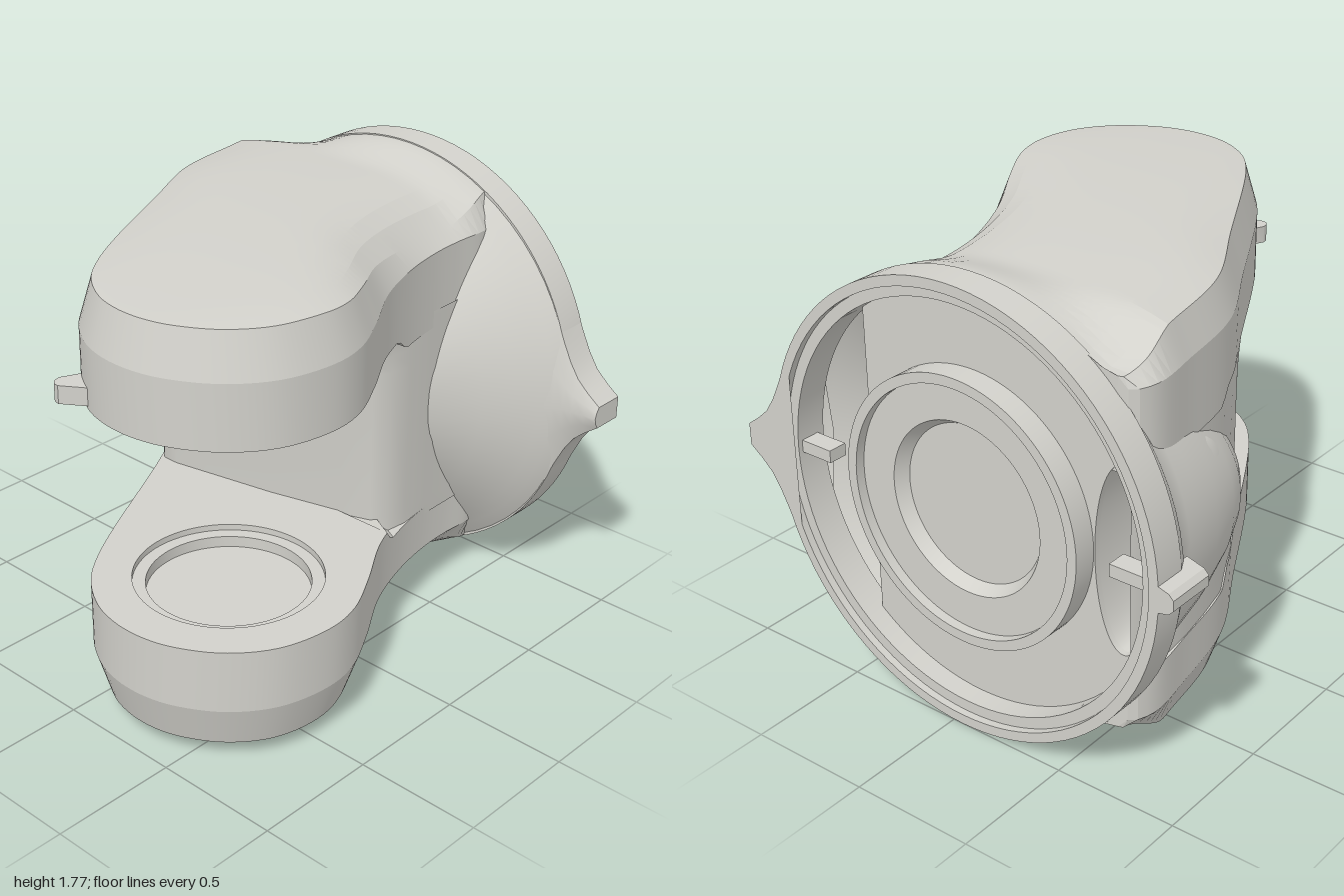
import * as THREE from 'three';
import { toCreasedNormals } from 'three/addons/utils/BufferGeometryUtils.js';

const { lerp, smoothstep } = THREE.MathUtils;
const MID = 0.885, RX = -0.045, PIVOT = [0.3, 0.47];

const grey = new THREE.MeshStandardMaterial({ color: 0xd2d1cb, side: THREE.DoubleSide });
grey.name = 'grey plastic';

function add(group, name, geometry, crease = 0.5) {
  const mesh = new THREE.Mesh(toCreasedNormals(geometry, crease), grey);
  mesh.name = name;
  group.add(mesh);
  return mesh;
}

// Surface through equally long rows of [x, y, z] points
function skin(rows, flip = false) {
  const n = rows[0].length, index = [];
  for (let i = 0; i < rows.length - 1; i++) {
    for (let j = 0; j < n - 1; j++) {
      const a = i * n + j, b = a + 1, c = a + n, d = c + 1;
      if (flip) index.push(a, c, b, b, c, d);
      else index.push(a, b, c, b, d, c);
    }
  }
  const g = new THREE.BufferGeometry();
  g.setAttribute('position', new THREE.Float32BufferAttribute(rows.flat(2), 3));
  g.setIndex(index);
  g.computeVertexNormals();
  return g;
}

const lathe = (points, segments = 72) =>
  new THREE.LatheGeometry(points.map(p => new THREE.Vector2(...p)), segments);

const planCurve = pts => new THREE.CatmullRomCurve3(
  pts.map(([x, z]) => new THREE.Vector3(x, 0, z)), false, 'centripetal');

// The two sides of the arm outline, from the back to the rounded tip
const leftSide = planCurve([[-0.6, -0.88], [-0.72, -0.87], [-0.76, -0.78], [-0.73, -0.55], [-0.66, -0.22],
  [-0.47, 0.14], [-0.15, 0.717], [-0.03, 0.86], [0.12, 0.953], [0.24, 0.983], [0.3, 0.986]]);
const rightSide = planCurve([[0.35, -0.88], [0.41, -0.875], [0.44, -0.82], [0.44, -0.65], [0.45, -0.5],
  [0.49, -0.3], [0.57, -0.08], [0.7, 0.14], [0.79, 0.32], [0.815, 0.47], [0.77, 0.69], [0.65, 0.85],
  [0.48, 0.953], [0.36, 0.983], [0.3, 0.986]]);

// Height of the crowned outer face; u runs from -1 to 1 across the arm
function crown(x, z, u) {
  const drop = smoothstep(-z, -0.6, 0.65);
  const edge = 1.7 - lerp(0.03, 0.13, (u + 1) / 2) * drop;
  const centre = 1.7 + 0.035 * (1 - (z / 0.935) ** 2);
  const y = edge + (centre - edge) * (1 - u ** 4);
  const ring = MID + Math.sqrt(Math.max(0, 0.775 - (x - RX) ** 2));
  return lerp(y, Math.max(1.57, ring), smoothstep(-z, 0.62, 0.87));
}

// Edge of the crowned face, set in from the outline; side is 1 for left, -1 for right
function inset(curve, t, side) {
  const p = curve.getPointAt(t), d = curve.getTangentAt(t);
  const keep = 1 - smoothstep(-p.z, 0.78, 0.86);
  return [p.x + side * 0.05 * d.z, p.z - side * 0.05 * d.x * keep];
}

// One arm; the lower one is mirrored about the middle height.
// Behind z = -step.from its inner face moves by step.rise until z = -step.to.
function makeArm(name, lower, step, holeRadius, socket) {
  const arm = new THREE.Group();
  arm.name = name;
  const Y = y => (lower ? 2 * MID - y : y);
  const inner = z => 1.28 + step.rise * smoothstep(-z, step.from, step.to);
  const N = 64, rows = [], L = [], R = [];
  for (let i = 0; i <= N; i++) {
    const l = leftSide.getPointAt(i / N), r = rightSide.getPointAt(i / N);
    const a = inset(leftSide, i / N, 1), b = inset(rightSide, i / N, -1);
    L.push(l);
    R.push(r);
    const row = [[l.x, Y(inner(l.z)), l.z], [l.x, Y(1.53), l.z]];
    for (let k = 0; k <= 14; k++) {
      const x = lerp(a[0], b[0], k / 14), z = lerp(a[1], b[1], k / 14);
      row.push([x, Y(crown(x, z, k / 7 - 1)), z]);
    }
    row.push([r.x, Y(1.53), r.z], [r.x, Y(inner(r.z)), r.z]);
    rows.push(row);
  }
  add(arm, 'armShell', skin(rows, !lower), 0.2);

  // Inner face: a front part with the socket hole and a stepped rear part
  const outline = [...L, ...R.slice(0, N).reverse()];
  const rear = p => p.z <= 0.03 - step.from;
  for (const front of [true, false]) {
    const pts = front ? outline.filter(p => p.z > -step.from - 0.01)
      : [...R.filter(rear).reverse(), ...L.filter(rear)];
    const shape = new THREE.Shape(pts.map(p => new THREE.Vector2(p.x, -p.z)));
    if (front) shape.holes.push(new THREE.Path().absarc(PIVOT[0], -PIVOT[1], holeRadius, 0, Math.PI * 2, true));
    const g = new THREE.ShapeGeometry(shape, 36).rotateX(-Math.PI / 2);
    const p = g.attributes.position;
    for (let i = 0; i < p.count; i++) p.setY(i, Y(front ? 1.28 : inner(p.getZ(i))));
    if (!lower) g.setIndex([...g.index.array].reverse());
    g.computeVertexNormals();
    add(arm, 'innerFace', g);
  }
  add(arm, 'pivotSocket', lathe(socket)).position.set(PIVOT[0], 0, PIVOT[1]);
  return arm;
}

export function createModel() {
  const model = new THREE.Group();
  model.name = 'pivotBracket';

  model.add(makeArm('upperArm', false, { rise: -0.06, from: 0.2, to: 0.3 }, 0.44,
    [[0.44, 1.28], [0.44, 1.33], [0.4, 1.34], [0.38, 1.48], [0.2, 1.48], [0.2, 1.36], [0.16, 1.36],
      [0.16, 1.46], [0, 1.46]]));
  model.add(makeArm('lowerArm', true, { rise: 0.06, from: 0.16, to: 0.22 }, 0.36,
    [[0.36, 0.49], [0.36, 0.465], [0.31, 0.465], [0.31, 0.42], [0, 0.42]]));

  // Column between the arms, flared along the arm where it meets the upper one
  const plan = [[-0.72, -0.87], [-0.755, -0.78], [-0.728, -0.55], [-0.7, -0.4], [-0.665, -0.25], [-0.615, -0.13],
    [-0.575, -0.05], [-0.555, -0.01], [-0.52, 0.02], [-0.45, 0.02], [-0.3, -0.01], [0, -0.07], [0.3, -0.15],
    [0.42, -0.19], [0.46, -0.25], [0.47, -0.35], [0.45, -0.5], [0.44, -0.87]];
  const levels = [[0.4, -0.02], [0.49, -0.015], [1.12, 0.01], [1.19, 0.02], [1.24, 0.045], [1.27, 0.08], [1.29, 0.12]];
  add(model, 'column', skin(levels.map(([y, out]) => plan.map(([x, z]) => {
    const shift = out * smoothstep(z, -0.26, -0.14);
    return [x + 0.55 * shift, y, z + shift];
  }))), 0.8);

  // Flared body behind the column: [z, min x, max x, half height]
  const sections = [[-0.87, -0.93, 0.84, 0.87], [-0.83, -0.91, 0.8, 0.82], [-0.8, -0.885, 0.755, 0.79],
    [-0.74, -0.875, 0.68, 0.75], [-0.66, -0.86, 0.585, 0.69], [-0.53, -0.84, 0.47, 0.59],
    [-0.38, -0.805, 0.4, 0.46], [-0.28, -0.765, 0.35, 0.38], [-0.2, -0.71, 0.3, 0.32],
    [-0.14, -0.63, 0.2, 0.26], [-0.12, -0.5, 0.0, 0.2]];
  add(model, 'flaredBody', skin(sections.map(([z, x0, x1, h]) => {
    const row = [], power = lerp(1, 0.9, smoothstep(z, -0.8, -0.4));
    for (let i = 0; i <= 64; i++) {
      const a = i / 64 * Math.PI * 2, c = Math.cos(a), s = Math.sin(a);
      row.push([(x0 + x1) / 2 + (x1 - x0) / 2 * Math.sign(c) * Math.abs(c) ** power,
        MID + h * Math.sign(s) * Math.abs(s) ** power, z]);
    }
    return row;
  })), 0.7);

  // Mounting ring and central hub on the back, as [radius, z]
  const backParts = {
    mountingRing: [[0.85, -0.87], [0.885, -0.87], [0.885, -1], [0.845, -1], [0.845, -0.97], [0.8, -0.97], [0.8, -0.84]],
    hub: [[0.53, -0.86], [0.53, -0.98], [0.49, -0.98], [0.49, -0.94], [0.34, -0.94], [0.31, -0.89], [0, -0.89]],
  };
  for (const [name, points] of Object.entries(backParts)) {
    add(model, name, lathe(points.reverse(), 96).rotateX(Math.PI / 2)).position.set(RX, MID, 0);
  }

  // Trough floor: cut straight on one side, with an oval pocket on the other
  const cut = Math.acos(0.5 / 0.81);
  const floor = new THREE.Shape().absarc(0, 0, 0.81, cut, Math.PI * 2 - cut, false);
  floor.holes.push(new THREE.Path().absellipse(-0.655, 0, 0.12, 0.37, 0, Math.PI * 2, true));
  add(model, 'troughFloor', new THREE.ExtrudeGeometry(floor, { depth: 0.03, bevelEnabled: false, curveSegments: 48 }))
    .position.set(RX, MID, -0.885);
  add(model, 'ovalPocket', lathe([[0, -0.4], [0.75, -0.4], [0.85, -0.45], [1, -0.86]], 48)
    .rotateX(Math.PI / 2).scale(0.12, 0.37, 1)).position.set(RX - 0.655, MID, 0);

  // Pointer on the ring: [x, half height, front z]
  const pointer = [[0.74, 0.4, -0.8], [0.77, 0.34, -0.81], [0.8, 0.27, -0.82], [0.84, 0.19, -0.83],
    [0.88, 0.13, -0.837], [0.93, 0.085, -0.845], [0.985, 0.045, -0.85]];
  const pointerRow = ([x, h, z]) => {
    const soft = z + 0.87;
    return [[x, MID - h, -1], [x, MID - h, z - soft], [x, MID - h * 0.5, z - soft * 0.3], [x, MID, z],
      [x, MID + h * 0.5, z - soft * 0.3], [x, MID + h, z - soft], [x, MID + h, -1], [x, MID - h, -1]];
  };
  const tip = [0.985, MID, -0.92];
  add(model, 'pointer', skin([...pointer.map(pointerRow), Array(8).fill(tip)]), 0.6);

  // Index tab on the ring, tapered outward
  const tab = new THREE.Shape([[-0.9, 0.83], [-0.9, 0.945], [-0.97, 0.925], [-0.99, 0.905], [-0.99, 0.865], [-0.97, 0.845]]
    .map(p => new THREE.Vector2(...p)));
  add(model, 'ringTab', new THREE.ExtrudeGeometry(tab, { depth: 0.2, bevelEnabled: false })).position.z = -1;

  // Small ribs inside the trough
  for (const x of [0.69, -0.77]) {
    add(model, 'troughRib', new THREE.BoxGeometry(0.16, 0.05, 0.08)).position.set(x, MID, -0.91);
  }

  // Rounded stop tab on the tip of the upper arm
  const stop = new THREE.Shape();
  stop.moveTo(0.1, -0.88);
  stop.lineTo(0.0, -0.87);
  stop.lineTo(-0.035, -0.95);
  stop.quadraticCurveTo(-0.035, -1, 0.01, -1);
  stop.lineTo(0.1, -0.94);
  add(model, 'stopTab', new THREE.ExtrudeGeometry(stop, { depth: 0.07, bevelEnabled: false })
    .rotateX(-Math.PI / 2)).position.y = 1.29;

  return model;
}
